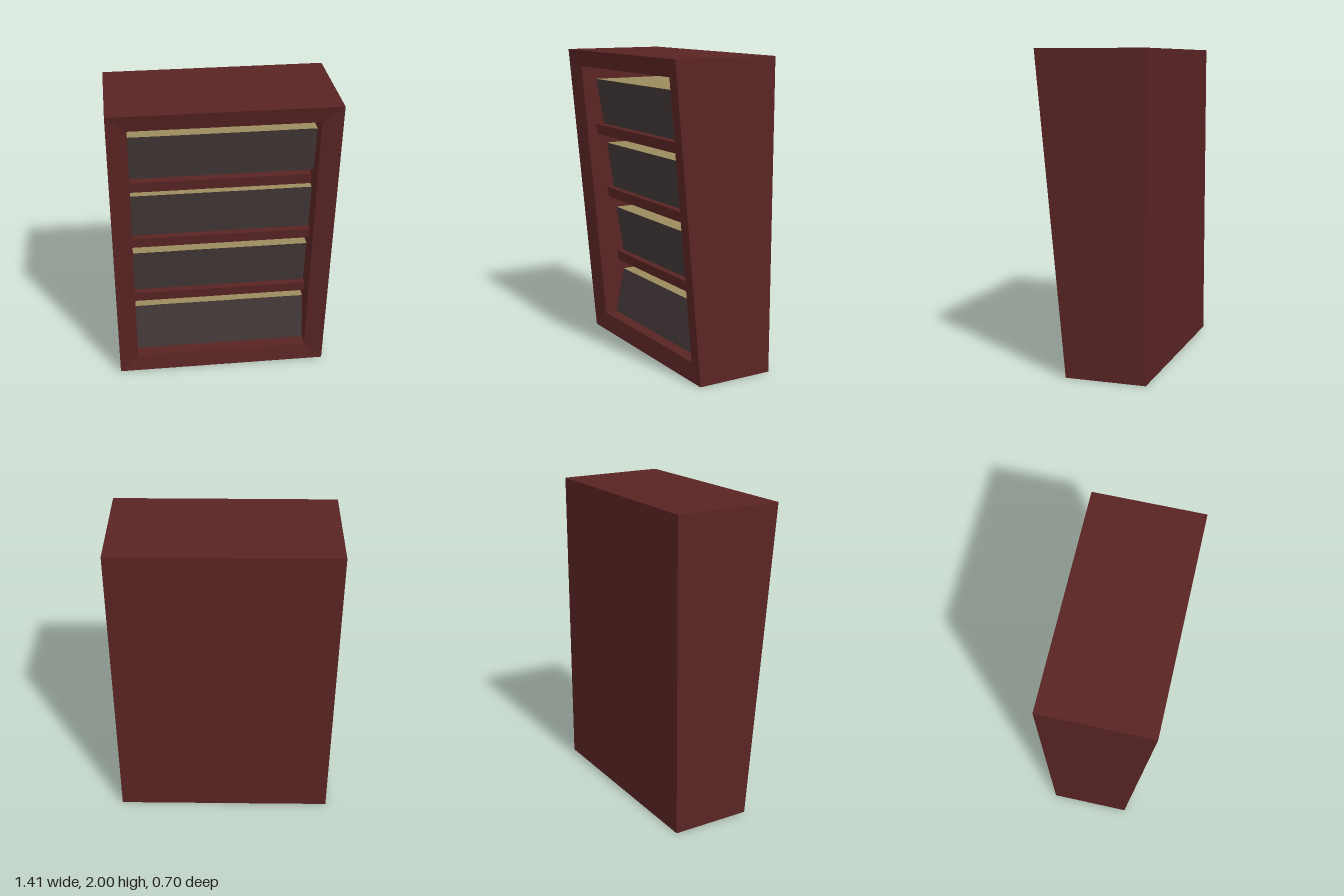
import * as THREE from 'three';

const mat = (name, color) => Object.assign(new THREE.MeshStandardMaterial({ color }), { name });

// Solid with a four-cornered outline (counter-clockwise from the front), a flat back and a front set by zf(corner)
function prism(outline, zBack, zf) {
  const back = outline.map(([x, y]) => [x, y, zBack]);
  const front = outline.map(([x, y], i) => [x, y, zf(x, y, i)]);
  const pos = [];
  const quad = (a, b, c, d) => pos.push(...a, ...b, ...c, ...a, ...c, ...d);
  quad(...front);
  quad(back[3], back[2], back[1], back[0]);
  for (let i = 0; i < 4; i++) {
    const j = (i + 1) % 4;
    quad(front[i], back[i], back[j], front[j]);
  }
  const g = new THREE.BufferGeometry();
  g.setAttribute('position', new THREE.Float32BufferAttribute(pos, 3));
  g.computeVertexNormals();
  return g;
}

const rect = (x0, x1, y0, y1) => [[x0, y0], [x1, y0], [x1, y1], [x0, y1]];

export function createModel() {
  const group = new THREE.Group();
  group.name = 'bookcase';
  const wood = mat('mahogany wood', 0x5a2424);
  const spine = mat('dark book spines', 0x423737);
  const paper = mat('cream pages', 0x9c8b5e);
  const add = (name, geometry, material) => {
    const m = new THREE.Mesh(geometry, material);
    m.name = name;
    group.add(m);
  };

  const W = 0.705, H = 2, BACK = -0.35, INNER_BACK = -0.3;
  const IX = 0.58, Y0 = 0.12, Y1 = 1.89;
  const plane = y => 0.165 + 0.0925 * y; // front leans out towards the top

  // Mitred case walls, their front edges bevelled inwards
  const outer = rect(-W, W, 0, H), inner = rect(-IX, IX, Y0, Y1);
  ['bottomWall', 'leftWall', 'topWall', 'rightWall'].forEach((name, i) => {
    const j = (i + 1) % 4;
    add(name, prism([outer[i], outer[j], inner[j], inner[i]], BACK,
      (x, y, k) => plane(y) - (k > 1 ? 0.025 : 0)), wood);
  });
  add('backPanel', prism(inner, BACK, () => INNER_BACK), wood);

  // Shelves: bottom, top, front z at the top edge, right end
  [[0.5, 0.57, 0.055, IX], [0.97, 1.04, 0.127, IX], [1.42, 1.49, 0.208, 0.555]].forEach(([y0, y1, z, x1], i) => {
    add(`shelf${i + 1}`, prism(rect(-IX, x1, y0, y1), INNER_BACK, (x, y) => z + (y - y1) * 0.15), wood);
  });

  // Rows of books: bottom, top, front z at the bottom, front z at the top
  const BOOKS = 20, STEPS = 4, XW = IX - 0.001;
  [[0.12, 0.43, 0.07, 0.006], [0.57, 0.89, 0.008, 0.06], [1.04, 1.355, 0.08, 0.13], [1.49, 1.8, 0.15, 0.208]]
    .forEach(([y0, y1, z0, z1], i) => {
      const g = new THREE.BoxGeometry(2 * XW, y1 - y0, 1, BOOKS * STEPS, 1, 1);
      const p = g.attributes.position;
      for (let k = 0; k < p.count; k++) {
        const t = p.getY(k) > 0 ? 1 : 0;
        // gently rounded spine for each book
        const u = ((p.getX(k) + XW) / (2 * XW)) * BOOKS;
        const round = 0.002 * Math.abs(Math.sin(Math.PI * u));
        const z = p.getZ(k) > 0 ? z0 + (z1 - z0) * t - 0.002 + round : INNER_BACK;
        p.setXYZ(k, p.getX(k), t ? y1 : y0, z);
      }
      g.computeVertexNormals();
      add(`bookRow${i + 1}`, g, [spine, spine, paper, paper, spine, spine]);
    });

  return group;
}
